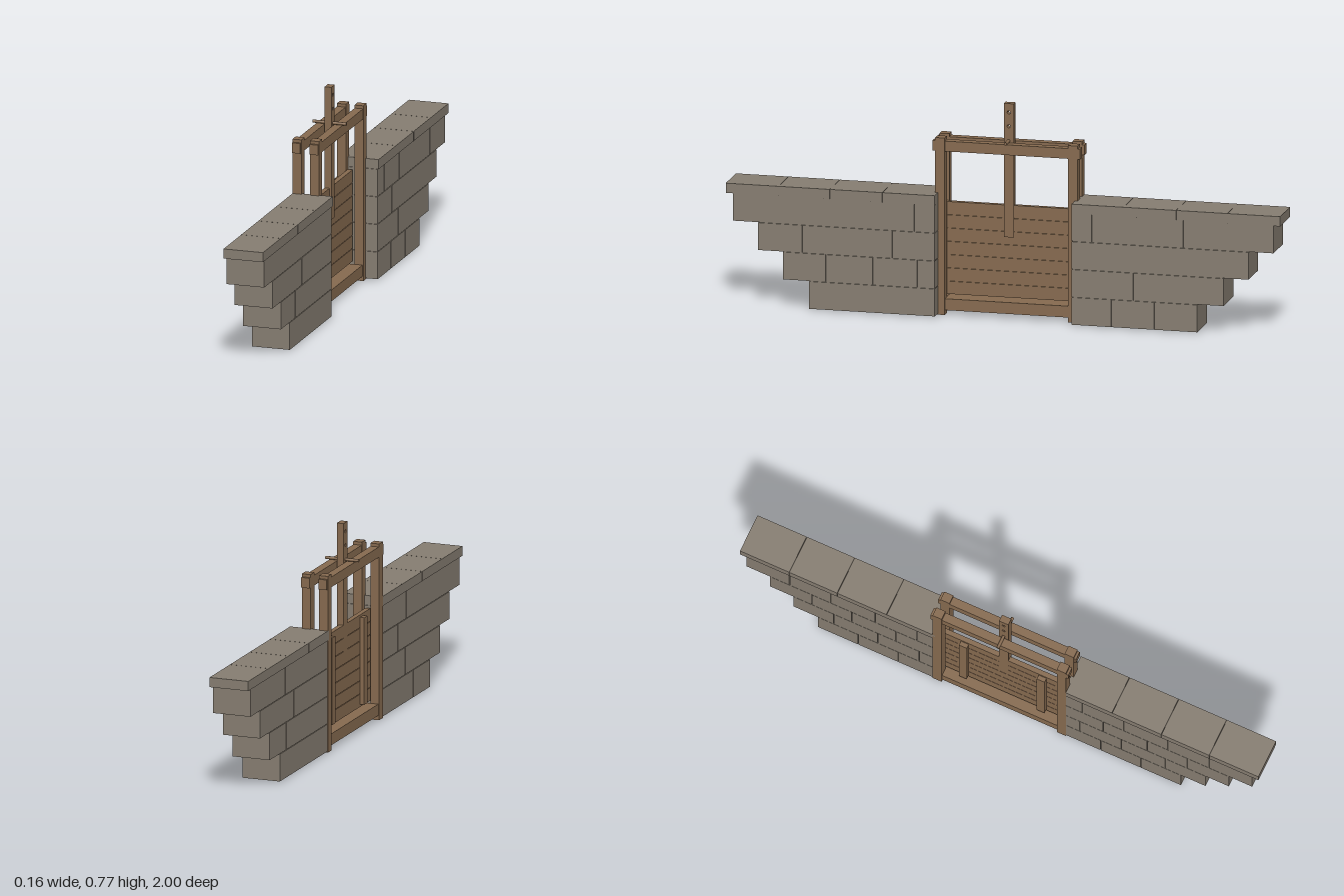
import * as THREE from 'three';

const wood = new THREE.MeshStandardMaterial({ name: 'brownWood', color: 0x876b50 });
const stone = new THREE.MeshStandardMaterial({ name: 'greyStone', color: 0x877e72 });

// Box given by its limits on each axis
function block(parent, name, material, [x0, x1], [y0, y1], [z0, z1]) {
  const mesh = new THREE.Mesh(new THREE.BoxGeometry(x1 - x0, y1 - y0, z1 - z0), material);
  mesh.position.set((x0 + x1) / 2, (y0 + y1) / 2, (z0 + z1) / 2);
  mesh.name = name;
  parent.add(mesh);
  return mesh;
}

// Limits along z, mirrored for the side at negative z
const span = (side, a, b) => (side > 0 ? [a, b] : [-b, -a]);

// Stepped wall of staggered stones under a row of coping stones
function buildWall(side) {
  const wall = new THREE.Group();
  wall.name = side > 0 ? 'frontWall' : 'backWall';
  const gap = 0.001;
  const courses = [
    [0.247, 0.39, 0.545, 0.7],
    [0.247, 0.31, 0.47, 0.64, 0.795],
    [0.247, 0.4, 0.57, 0.725, 0.885],
    [0.247, 0.32, 0.48, 0.65, 0.81, 0.975],
  ];
  courses.forEach((joints, row) => {
    const y = 0.003 + row * 0.1005;
    const end = joints[joints.length - 1];
    block(wall, 'mortarCore', stone, [-0.061, 0.071], [y, y + 0.1005], span(side, 0.251, end - 0.004));
    for (let i = 0; i < joints.length - 1; i++) {
      block(wall, 'wallStone', stone, [-0.065, 0.075], [y + gap, y + 0.1005 - gap],
        span(side, joints[i] + (i ? gap : 0), joints[i + 1] - (i < joints.length - 2 ? gap : 0)));
    }
  });
  const coping = [0.247, 0.435, 0.625, 0.81, 1];
  for (let i = 0; i < 4; i++) {
    block(wall, 'copingStone', stone, [-0.067, 0.079], [0.405, 0.44],
      span(side, coping[i] + (i ? 0.0006 : 0), coping[i + 1] - (i < 3 ? 0.0006 : 0)));
  }
  return wall;
}

// Twin post-and-rail frames on a shared sill
function buildFrame() {
  const frame = new THREE.Group();
  frame.name = 'gateFrame';
  for (const [x0, x1] of [[-0.067, -0.034], [-0.002, 0.031]]) {
    for (const side of [1, -1]) {
      block(frame, 'post', wood, [x0, x1], [0, 0.638], span(side, 0.222, 0.257));
    }
    block(frame, 'topRail', wood, [x0 + 0.001, x1 - 0.001], [0.59, 0.627], [-0.266, 0.266]);
  }
  block(frame, 'sill', wood, [-0.064, 0.028], [0.017, 0.058], [-0.224, 0.224]);
  return frame;
}

// Sliding plank gate with battens, drilled lifting bar and locking pin
function buildGate() {
  const gate = new THREE.Group();
  gate.name = 'slidingGate';
  const planks = 7, pitch = 0.335 / planks;
  for (let i = 0; i < planks; i++) {
    const y = 0.065 + i * pitch;
    block(gate, 'plank', wood, [-0.03, -0.012], [y + 0.001, y + pitch - 0.001], [-0.232, 0.232]);
  }
  block(gate, 'plankCore', wood, [-0.026, -0.016], [0.067, 0.398], [-0.23, 0.23]);
  for (const side of [1, -1]) {
    block(gate, 'batten', wood, [-0.046, -0.03], [0.075, 0.39], span(side, 0.135, 0.165));
  }

  const outline = new THREE.Shape();
  outline.moveTo(-0.018, 0.285);
  outline.lineTo(0.018, 0.285);
  outline.lineTo(0.018, 0.767);
  outline.lineTo(-0.018, 0.767);
  outline.closePath();
  for (const y of [0.685, 0.735]) {
    const hole = new THREE.Path();
    hole.absarc(0, y, 0.006, 0, Math.PI * 2, true);
    outline.holes.push(hole);
  }
  const barGeometry = new THREE.ExtrudeGeometry(outline, { depth: 0.025, bevelEnabled: false, curveSegments: 6 });
  barGeometry.rotateY(Math.PI / 2);
  const bar = new THREE.Mesh(barGeometry, wood);
  bar.name = 'liftingBar';
  bar.position.x = -0.03;
  gate.add(bar);

  const pin = new THREE.Mesh(new THREE.CylinderGeometry(0.0055, 0.0055, 0.125, 10), wood);
  pin.name = 'lockingPin';
  pin.rotation.z = Math.PI / 2;
  pin.position.set(-0.0175, 0.633, 0);
  gate.add(pin);
  return gate;
}

export function createModel() {
  const model = new THREE.Group();
  model.name = 'sluiceGate';
  model.add(buildWall(1), buildWall(-1), buildFrame(), buildGate());
  return model;
}
